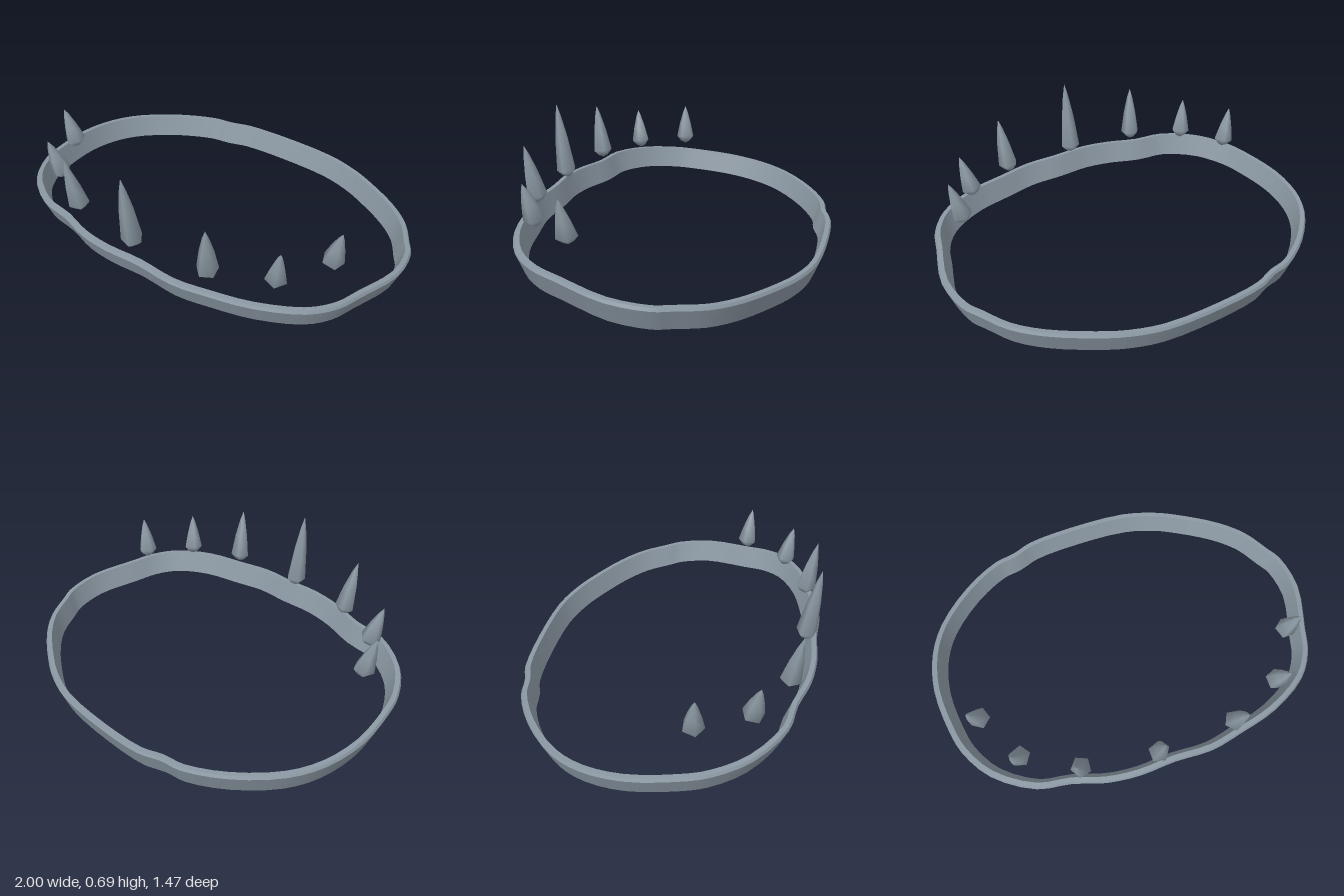
import * as THREE from 'three';
import { toCreasedNormals } from 'three/addons/utils/BufferGeometryUtils.js';

const steel = new THREE.MeshStandardMaterial({ color: 0x8b98a3 });
steel.name = 'steel grey';

// Plan outline of the hammered band's upper outer edge: x, z
const OUTLINE = [
  [-1, 0], [-0.97, 0.23], [-0.93, 0.36], [-0.82, 0.52], [-0.62, 0.645], [-0.45, 0.67],
  [-0.29, 0.715], [-0.12, 0.73], [0.06, 0.715], [0.25, 0.715], [0.42, 0.675], [0.62, 0.615],
  [0.81, 0.5], [0.9, 0.375], [0.94, 0.24], [1, 0], [0.975, -0.19], [0.93, -0.27],
  [0.85, -0.4], [0.73, -0.51], [0.54, -0.625], [0.41, -0.685], [0.235, -0.73], [-0.07, -0.735],
  [-0.315, -0.71], [-0.42, -0.67], [-0.53, -0.645], [-0.715, -0.535], [-0.89, -0.36], [-0.97, -0.2],
];

// Cross-section: outward offset, height above the upper edge
const SECTION = [[-0.038, -0.115], [0, -0.014], [-0.007, 0], [-0.03, 0], [-0.064, -0.113]];

// The band tilts up to the front, with a slight wave there
const topHeight = (x, z) => 0.19 + 0.1 * z + 0.006 * Math.cos(8.5 * x) * Math.max(0, z);

function createBand() {
  const curve = new THREE.CatmullRomCurve3(
    OUTLINE.map(([x, z]) => new THREE.Vector3(x, 0, z)), true, 'centripetal');
  const steps = OUTLINE.length * 3, n = SECTION.length;
  const positions = [], index = [];
  for (let i = 0; i < steps; i++) {
    const p = curve.getPoint(i / steps), t = curve.getTangent(i / steps);
    const y = topHeight(p.x, p.z);
    for (const [out, up] of SECTION) positions.push(p.x - t.z * out, y + up, p.z + t.x * out);
    for (let j = 0; j < n; j++) {
      const k = (j + 1) % n, next = ((i + 1) % steps) * n;
      const a = i * n + j, b = next + j, c = next + k, d = i * n + k;
      index.push(a, b, c, a, c, d);
    }
  }
  const geometry = new THREE.BufferGeometry();
  geometry.setAttribute('position', new THREE.Float32BufferAttribute(positions, 3));
  geometry.setIndex(index);
  const band = new THREE.Mesh(toCreasedNormals(geometry, 0.6), steel);
  band.name = 'band';
  return band;
}

// Five-sided spike with a short point underneath, leaning from base to tip
function createSpike(base, tip, name) {
  const from = new THREE.Vector3(...base);
  const axis = new THREE.Vector3(...tip).sub(from);
  const h = axis.length();
  const profile = [[0, 0], [0.026, 0.012], [0.052, 0.04], [0.035, h * 0.53], [0.016, h * 0.83], [0, h]];
  const geometry = new THREE.LatheGeometry(profile.map(([r, y]) => new THREE.Vector2(r, y)), 5);
  geometry.rotateY(0.4 + base[0] * 2);
  const spike = new THREE.Mesh(geometry, steel);
  spike.quaternion.setFromUnitVectors(new THREE.Vector3(0, 1, 0), axis.normalize());
  spike.position.copy(from);
  spike.name = name;
  return spike;
}

export function createModel() {
  const model = new THREE.Group();
  model.name = 'spikedCrown';
  model.add(createBand());

  // Spikes floating above the front half
  model.add(createSpike([-0.01, 0.295, 0.655], [-0.01, 0.69, 0.7], 'centreSpike'));
  const pairs = [
    ['innerSpike', [0.383, 0.3, 0.615], [0.408, 0.59, 0.66]],
    ['middleSpike', [0.642, 0.298, 0.48], [0.685, 0.51, 0.517]],
    ['outerSpike', [0.78, 0.305, 0.25], [0.83, 0.52, 0.267]],
  ];
  for (const [name, base, tip] of pairs) {
    for (const side of [1, -1]) {
      const mirror = ([x, y, z]) => [x * side, y, z];
      model.add(createSpike(mirror(base), mirror(tip), name + (side > 0 ? 'Left' : 'Right')));
    }
  }
  return model;
}
